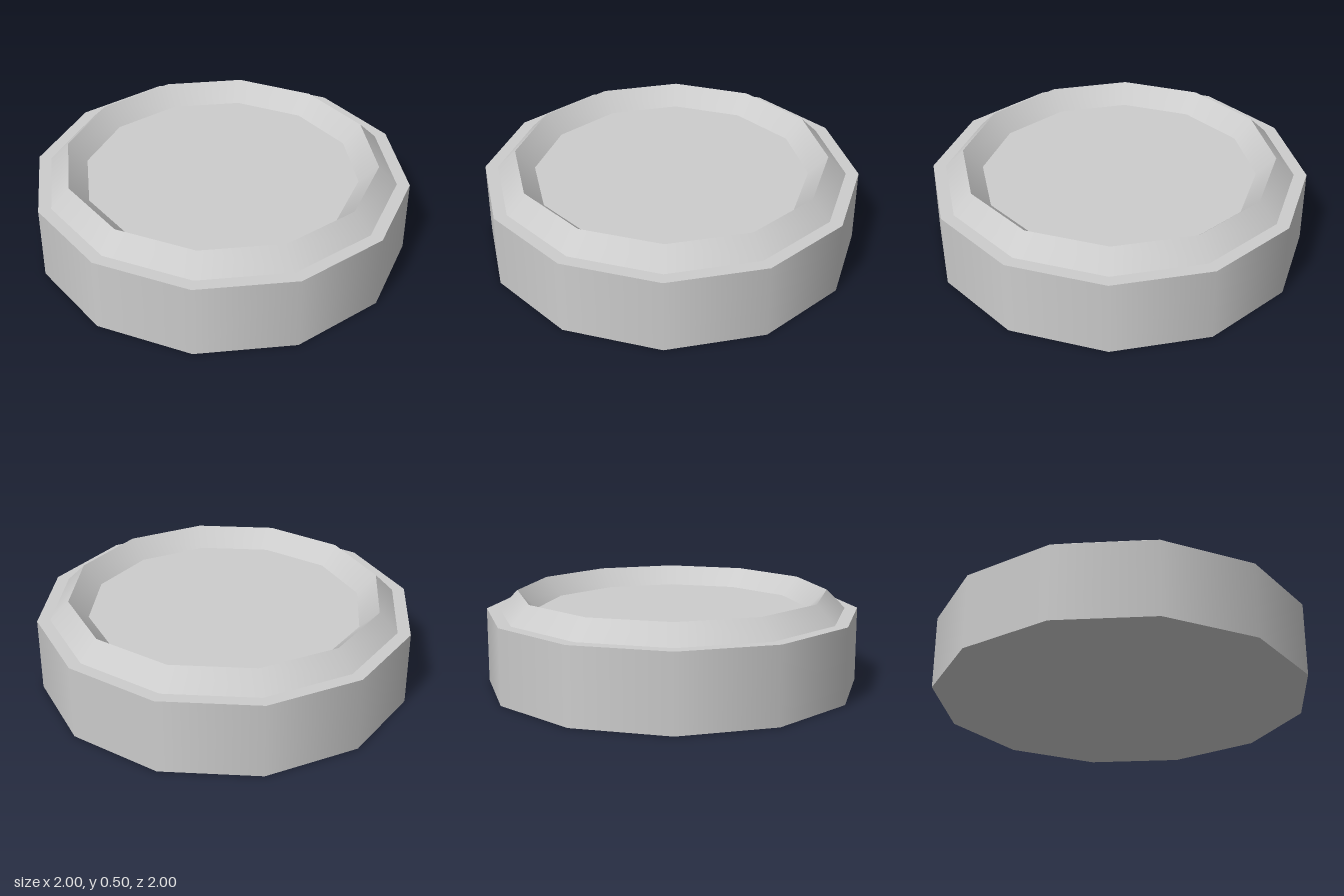
import * as THREE from 'three';

const SIDES = 12;

// One band of the ring: smooth around, sharp at its upper and lower edges.
function band(name, from, to, material) {
  const points = [from, to].map(([r, y]) => new THREE.Vector2(r, y));
  const mesh = new THREE.Mesh(new THREE.LatheGeometry(points, SIDES), material);
  mesh.name = name;
  return mesh;
}

export function createModel() {
  const group = new THREE.Group();
  group.name = 'rimmedDisc';
  const grey = new THREE.MeshStandardMaterial({ color: 0xcccccc });
  grey.name = 'light grey';

  // Twelve-sided body; its top is also the floor inside the rim
  const body = new THREE.Mesh(new THREE.CylinderGeometry(1, 1, 0.4, SIDES), grey);
  body.name = 'body';
  body.position.y = 0.2;
  group.add(body);

  // Raised rim with a ridge between two sloping faces
  const rim = new THREE.Group();
  rim.name = 'rim';
  rim.add(
    band('rimOuterSlope', [0.932, 0.4], [0.832, 0.5], grey),
    band('rimInnerSlope', [0.832, 0.5], [0.732, 0.4], grey),
  );
  group.add(rim);
  return group;
}
